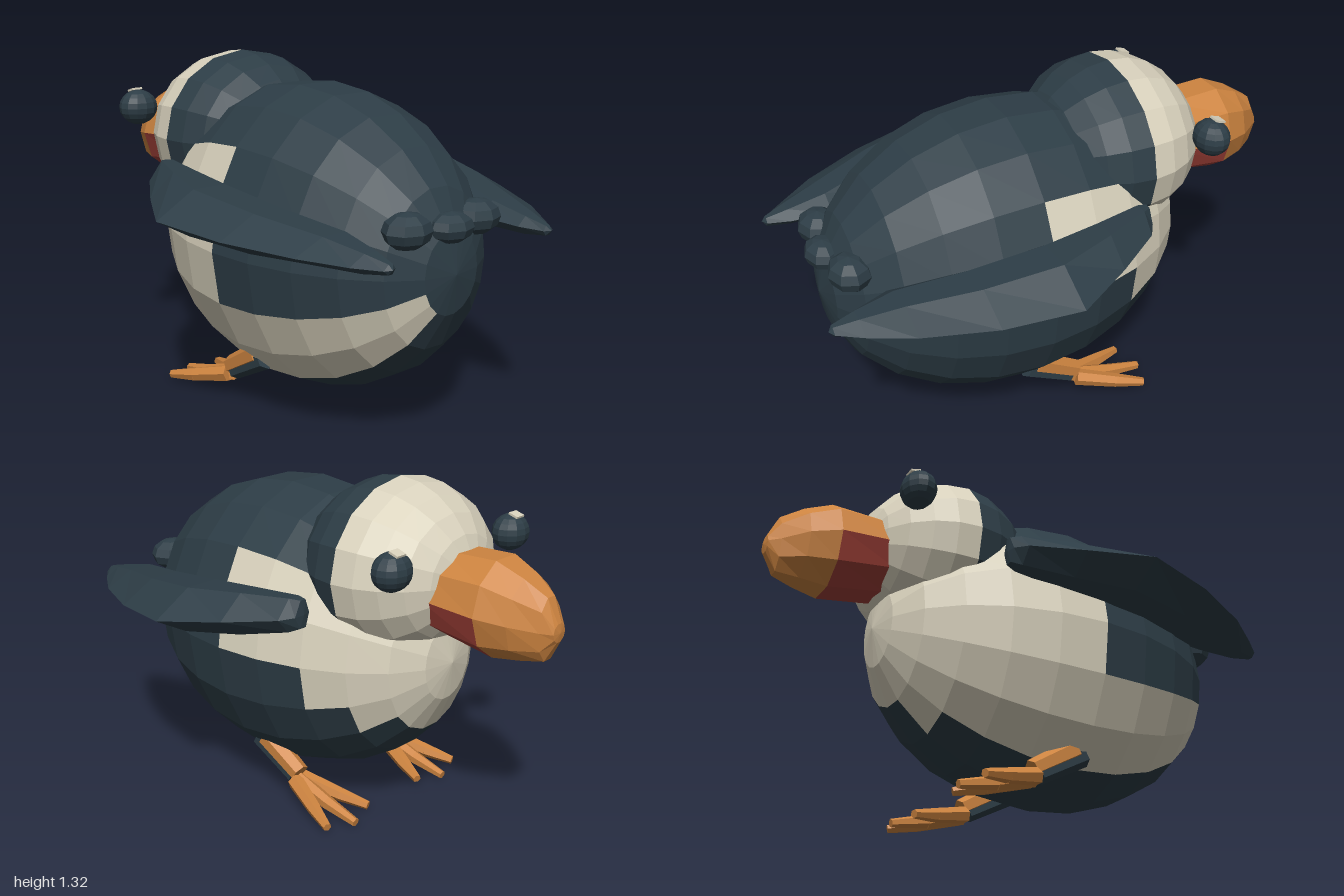
import * as THREE from 'three';

const mat = (name, color) => new THREE.MeshStandardMaterial({ name, color });

export function createModel() {
  const group = new THREE.Group();
  const dark = mat('slate', 0x2d3d46);
  const cream = mat('cream', 0xd9d2bd);
  const orange = mat('orange', 0xcd8440);
  const red = mat('red', 0xa04038);

  // Faceted mesh from any geometry
  function add(name, geo, material) {
    const g = geo.index ? geo.toNonIndexed() : geo;
    g.computeVertexNormals();
    const mesh = new THREE.Mesh(g, material);
    mesh.name = name;
    group.add(mesh);
    return mesh;
  }

  // Skin over closed rings ordered from -z to +z; pick(i, j) gives each face's material
  function loft(name, rings, pick) {
    const byMat = new Map();
    const tri = new THREE.Triangle();
    for (let i = 0; i < rings.length - 1; i++) {
      const n = rings[i].length;
      for (let j = 0; j < n; j++) {
        const k = (j + 1) % n;
        const [a, b, c, d] = [rings[i][j], rings[i][k], rings[i + 1][k], rings[i + 1][j]];
        const m = pick(i, j);
        if (!byMat.has(m)) byMat.set(m, []);
        for (const t of [[a, b, c], [a, c, d]]) {
          tri.set(...t);
          if (tri.getArea() > 1e-7) t.forEach(p => byMat.get(m).push(p.x, p.y, p.z));
        }
      }
    }
    for (const [m, pos] of byMat) {
      const g = new THREE.BufferGeometry();
      g.setAttribute('position', new THREE.Float32BufferAttribute(pos, 3));
      add(`${name} ${m.name}`, g, m);
    }
  }

  const ellipseRing = (n, z, cy, rx, ry, start = 0) =>
    Array.from({ length: n }, (_, j) => {
      const t = start + (j / n) * Math.PI * 2;
      return new THREE.Vector3(rx * Math.cos(t), cy + ry * Math.sin(t), z);
    });

  const ellipsoidRings = (n, count, cy, cz, rx, ry, rz) =>
    Array.from({ length: count + 1 }, (_, i) => {
      const a = (i / count) * Math.PI;
      const s = i === count ? 0 : Math.sin(a);
      return ellipseRing(n, cz - rz * Math.cos(a), cy, rx * s, ry * s);
    });

  // Tapered bar between two points
  function bar(name, from, to, r0, r1, material, sides = 6) {
    const a = new THREE.Vector3(...from), b = new THREE.Vector3(...to);
    const dir = b.clone().sub(a);
    const mesh = add(name, new THREE.CylinderGeometry(r1, r0, dir.length(), sides), material);
    mesh.position.copy(a).add(b).multiplyScalar(0.5);
    mesh.quaternion.setFromUnitVectors(new THREE.Vector3(0, 1, 0), dir.normalize());
  }

  // Body: number of cream rings, counted from the breast, in each lengthwise strip
  const creamRings = [6, 6, 3, 3, 3, 3, 3, 6, 6, 6, 11, 11, 3, 2, 2, 2, 3, 4];
  loft('body', ellipsoidRings(18, 12, 0.67, 0.18, 0.49, 0.58, 0.735),
    (i, j) => (i < creamRings[j] ? cream : dark));

  // Head: cream face, dark nape
  loft('head', ellipsoidRings(16, 12, 1.0, -0.29, 0.37, 0.325, 0.345),
    i => (i < 6 ? cream : dark));

  // Beak with red cheeks at the base
  const beak = [
    [-1.0, 0.9, 0, 0], [-0.995, 0.9, 0.035, 0.035], [-0.955, 0.905, 0.065, 0.12],
    [-0.87, 0.925, 0.135, 0.155], [-0.765, 0.94, 0.18, 0.185], [-0.54, 0.955, 0.185, 0.16],
  ].map(([z, cy, rx, ry]) => ellipseRing(10, z, cy, rx, ry));
  loft('beak', beak, (i, j) => (i === 4 && j >= 5 ? red : orange));

  // Wings: z, inner x, outer x, bottom y, top y
  const wing = [
    [-0.22, 0.43, 0.43, 0.885, 0.885],
    [-0.215, 0.40, 0.47, 0.835, 0.94],
    [-0.18, 0.38, 0.52, 0.82, 0.945],
    [0, 0.38, 0.63, 0.785, 0.94],
    [0.22, 0.36, 0.745, 0.76, 0.925],
    [0.5, 0.33, 0.68, 0.75, 0.885],
    [0.75, 0.28, 0.57, 0.75, 0.845],
    [0.9, 0.32, 0.47, 0.75, 0.815],
    [0.985, 0.355, 0.405, 0.76, 0.795],
    [1.0, 0.38, 0.38, 0.778, 0.778],
  ].map(([z, x0, x1, y0, y1]) => [
    [1, 0.45], [0.6, 1], [0.25, 1], [0, 0.5], [0.25, 0], [0.65, 0],
  ].map(([u, v]) => new THREE.Vector3(x0 + (x1 - x0) * u, y0 + (y1 - y0) * v, z)));
  loft('left wing', wing, () => dark);
  loft('right wing', wing.map(r =>
    r.map(p => new THREE.Vector3(-p.x, p.y, p.z)).reverse()), () => dark);

  // Tail tufts
  for (const [x, y, z, rx, ry, rz] of [
    [0, 0.83, 0.88, 0.09, 0.055, 0.07],
    [-0.165, 0.835, 0.84, 0.095, 0.065, 0.08], [0.165, 0.835, 0.84, 0.095, 0.065, 0.08],
  ]) {
    const tuft = add('tail tuft', new THREE.SphereGeometry(1, 8, 6).scale(rx, ry, rz), dark);
    tuft.position.set(x, y, z);
  }

  for (const s of [-1, 1]) {
    const side = s > 0 ? 'left' : 'right';
    // Eye with a small highlight on top
    const eye = add(`${side} eye`, new THREE.SphereGeometry(1, 12, 10).scale(0.08, 0.07, 0.067), dark);
    eye.position.set(s * 0.338, 1.095, -0.545);
    const glint = add(`${side} eye highlight`, new THREE.BoxGeometry(0.045, 0.008, 0.04), cream);
    glint.position.set(s * 0.338, 1.163, -0.567);
    glint.rotation.x = -0.3;

    // Shin: orange in front, dark behind
    const x = s * 0.265;
    bar(`${side} shin front`, [x, 0.23, 0.16], [x, 0.125, -0.02], 0.045, 0.038, orange);
    bar(`${side} shin back`, [x, 0.215, 0.2], [x, 0.108, 0.005], 0.04, 0.035, dark);

    // Foot with three bent toes
    for (const k of [-1, 0, 1]) {
      const mid = [x + k * 0.075, k ? 0.055 : 0.05, -0.17];
      const tip = [x + k * 0.115, k ? 0.032 : 0.02, k ? -0.28 : -0.32];
      bar(`${side} toe base`, [x + k * 0.02, 0.095, -0.015], mid, 0.034, 0.028, orange);
      bar(`${side} toe tip`, mid, tip, 0.028, 0.017, orange);
    }
  }

  return group;
}
